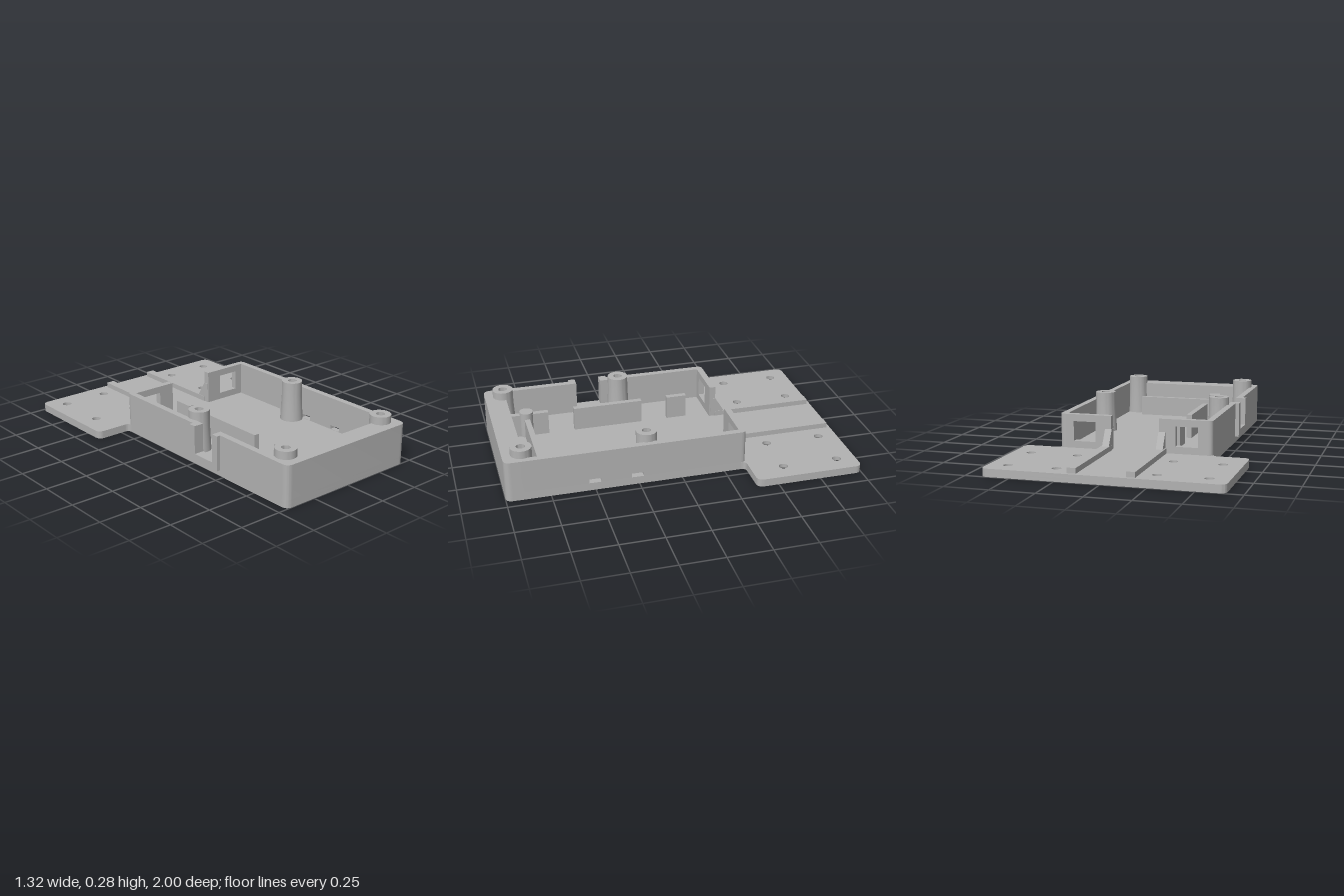
import * as THREE from 'three';
import { toCreasedNormals } from 'three/addons/utils/BufferGeometryUtils.js';

const W = 0.447;      // half width of the tray
const T = 0.037;      // wall thickness
const BACK = -0.375;  // outer back of the tray
const IN = 0.88;      // inner face of the thick front wall
const FLOOR = 0.045;
const TOP = 0.24;

export function createModel() {
  const group = new THREE.Group();
  const grey = new THREE.MeshStandardMaterial({ color: 0xb2b2b2 });
  grey.name = 'plainGrey';

  const add = (name, geometry, x = 0, y = 0, z = 0) => {
    const mesh = new THREE.Mesh(geometry, grey);
    mesh.name = name;
    mesh.position.set(x, y, z);
    group.add(mesh);
    return mesh;
  };
  const extrude = (shape, depth) => toCreasedNormals(
    new THREE.ExtrudeGeometry(shape, { depth, bevelEnabled: false, curveSegments: 10 }), 0.6);
  // shape in (x, z), standing from y0 to y1
  const slab = (name, shape, y0, y1) => add(name, extrude(shape, y1 - y0).rotateX(Math.PI / 2), 0, y1, 0);
  // shape in (z, y), spanning x0 to x1
  const side = (name, shape, x0, x1) => add(name, extrude(shape, x1 - x0).rotateY(-Math.PI / 2), x1, 0, 0);
  const box = (name, x0, x1, y0, y1, z0, z1) => add(name,
    new THREE.BoxGeometry(x1 - x0, y1 - y0, z1 - z0), (x0 + x1) / 2, (y0 + y1) / 2, (z0 + z1) / 2);
  const poly = (pts) => new THREE.Shape(pts.map(([x, y]) => new THREE.Vector2(x, y)));
  const rect = (a0, a1, b0, b1) => poly([[a0, b0], [a1, b0], [a1, b1], [a0, b1]]);
  const circle = (x, y, r) => new THREE.Path().absarc(x, y, r, 0, Math.PI * 2, true);

  // polygon with a corner radius given per point
  const rounded = (pts) => {
    const s = new THREE.Shape();
    pts.forEach(([x, y, r], i) => {
      const p = new THREE.Vector2(x, y);
      const toward = (q) => new THREE.Vector2(q[0], q[1]).sub(p).setLength(r).add(p);
      const a = toward(pts[(i + pts.length - 1) % pts.length]);
      const b = toward(pts[(i + 1) % pts.length]);
      if (i) s.lineTo(a.x, a.y); else s.moveTo(a.x, a.y);
      if (r) s.quadraticCurveTo(x, y, b.x, b.y);
    });
    s.closePath();
    return s;
  };

  // Floor and mounting plate in one outline, countersunk from below
  const outline = () => rounded([
    [-0.66, -1, 0.04], [0.66, -1, 0.04], [0.66, BACK, 0.04], [W, BACK, 0.03],
    [W, 1, 0.04], [-W, 1, 0.04], [-W, BACK, 0.03], [-0.66, BACK, 0.04]]);
  const holes = [];
  for (const x of [-0.55, -0.275, 0.275, 0.55]) for (const z of [-0.89, -0.565]) holes.push([x, z]);
  const lower = outline();
  const upper = outline();
  holes.forEach(([x, z]) => {
    lower.holes.push(circle(x, z, 0.055));
    upper.holes.push(circle(x, z, 0.026));
    add('countersink', new THREE.LatheGeometry(
      [new THREE.Vector2(0.026, 0.022), new THREE.Vector2(0.055, 0)], 32), x, 0, z);
  });
  lower.holes.push(circle(0.04, 0.595, 0.1));
  slab('lowerPlate', lower, 0, 0.022);
  slab('upperPlate', upper, 0.022, FLOOR);
  add('undersideRecess', new THREE.CylinderGeometry(0.1, 0.1, 0.016, 40), 0.04, 0.014, 0.595);

  // Thick front wall
  slab('frontWall', rounded([[-W, IN, 0], [W, IN, 0], [W, 1, 0.04], [-W, 1, 0.04]]), FLOOR, TOP);

  // Left wall with two small slots
  const left = rect(BACK + T, IN, FLOOR, TOP);
  left.holes.push(rect(0.225, 0.295, 0.046, 0.07), rect(0.467, 0.535, 0.046, 0.07));
  side('leftWall', left, W - T, W);

  // Right wall with an open notch and its raised frame
  const notched = (z0, z1, y0) => poly([[z0, y0], [z1, y0], [z1, TOP], [0.435, TOP],
    [0.435, 0.075], [0.285, 0.075], [0.285, TOP], [z0, TOP]]);
  side('rightWall', notched(BACK + T, IN, FLOOR), -W, -W + T);
  side('notchFrame', notched(0.24, 0.475, 0.035), -0.47, -W);

  for (const s of [-1, 1]) {
    // Back wall half with a square window, and its rounded outer corner
    const panel = rect(Math.min(s * 0.14, s * (W - T)), Math.max(s * 0.14, s * (W - T)), FLOOR, TOP);
    panel.holes.push(rect(s * 0.3 - 0.065, s * 0.3 + 0.065, 0.085, 0.2));
    add('backWall', extrude(panel, T), 0, 0, BACK);
    slab('backCorner', rounded([[s * (W - T), BACK, 0], [s * W, BACK, 0.03],
      [s * W, BACK + T, 0], [s * (W - T), BACK + T, 0]]), FLOOR, TOP);

    // Guide rail and its gusset
    box('guideRail', s * 0.16 - 0.025, s * 0.16 + 0.025, FLOOR, 0.075, -0.98, BACK);
    side('railGusset', poly([[-0.43, 0.075], [BACK + 0.03, 0.075], [BACK + 0.03, 0.165], [BACK, 0.165]]),
      s * 0.157 - 0.02, s * 0.157 + 0.02);

    // Screw posts with a blind hole
    for (const z of [0.187, 0.892]) {
      const profile = [[0.068, FLOOR], [0.06, 0.2], [0.06, 0.285], [0.025, 0.285], [0.025, 0.12], [0, 0.12]];
      add('screwPost', toCreasedNormals(new THREE.LatheGeometry(
        profile.map(([r, y]) => new THREE.Vector2(r, y)), 36), 0.6), s * 0.358, 0, z);
    }
  }

  // Inner dividers
  for (const [z0, z1] of [[-0.2, -0.08], [0.08, 0.495], [0.65, IN]]) {
    box('divider', -0.216, -0.184, FLOOR, 0.185, z0, z1);
  }
  box('crossDivider', -0.2, 0.297, FLOOR, 0.165, 0.764, 0.796);
  add('dividerPeg', new THREE.CylinderGeometry(0.04, 0.04, 0.155, 28), -0.2, FLOOR + 0.0775, 0.78);

  return group;
}
